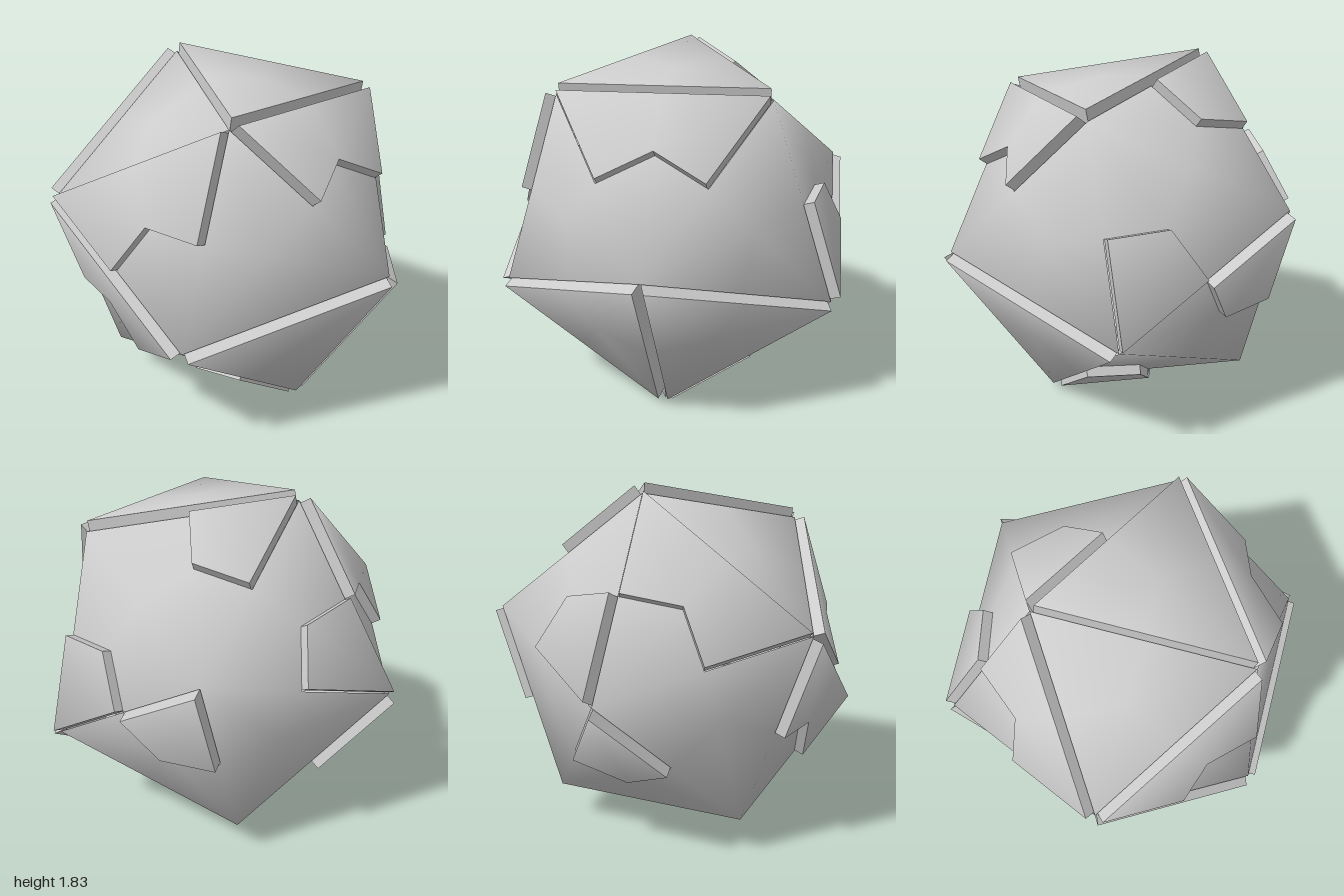
import * as THREE from 'three';

const BASE = 0.969;   // circumradius of the low tiles
const INNER = 0.944;  // circumradius the raised tiles are pushed out from
const RAISE = 0.07;   // push along the face normal
const CENTRE_Y = 0.913;

// Raised corner tiles of each icosahedron face (F front, a-e front ring, p-t back ring, K back)
const RAISED = {
  Fae: 'ae', Fbc: 'Fbc', Fcd: 'Fcd', aep: 'aep', apq: 'p', abq: 'b', bqr: 'q', bcr: 'c',
  crs: 'c', cds: 'c', dst: 'dt', det: 'et', pqK: 'K', rsK: 'K', ptK: 'pt',
};

// Icosahedron corners, with one corner facing the front
function corners() {
  const list = [{ name: 'F', p: new THREE.Vector3(0, 0, 1) }];
  const ring = (names, start, z) => [...names].forEach((name, i) => {
    const a = THREE.MathUtils.degToRad(start - 72 * i);
    const r = 2 / Math.sqrt(5);
    list.push({ name, p: new THREE.Vector3(r * Math.cos(a), r * Math.sin(a), z) });
  });
  ring('abcde', 54, 1 / Math.sqrt(5));
  ring('pqrst', 90, -1 / Math.sqrt(5));
  list.push({ name: 'K', p: new THREE.Vector3(0, 0, -1) });
  return list;
}

// One kite tile: a softly shaded top, plus side walls when raised
function kiteGeometry(outline, normal, raised) {
  const pos = [], nor = [];
  const tri = (pts, normals) => pts.forEach((p, i) => {
    pos.push(p.x, p.y, p.z);
    nor.push(normals[i].x, normals[i].y, normals[i].z);
  });
  const soft = outline.map((p) => p.clone().normalize());
  const foot = outline.map((p) => p.clone().multiplyScalar(raised ? INNER : BASE));
  const top = foot.map((p) => p.clone().addScaledVector(normal, raised ? RAISE : 0));
  for (const t of [[0, 1, 2], [0, 2, 3]]) tri(t.map((i) => top[i]), t.map((i) => soft[i]));
  if (raised) {
    for (let i = 0; i < 4; i++) {
      const j = (i + 1) % 4;
      const out = top[j].clone().sub(top[i]).cross(normal).normalize();
      tri([foot[i], foot[j], top[j]], [out, out, out]);
      tri([foot[i], top[j], top[i]], [out, out, out]);
    }
  }
  const geo = new THREE.BufferGeometry();
  geo.setAttribute('position', new THREE.Float32BufferAttribute(pos, 3));
  geo.setAttribute('normal', new THREE.Float32BufferAttribute(nor, 3));
  return geo;
}

export function createModel() {
  const model = new THREE.Group();
  model.name = 'tiledIcosahedron';
  const material = new THREE.MeshStandardMaterial({ color: 0xcccccc, side: THREE.DoubleSide });
  const v = corners();
  const near = (a, b) => a.p.distanceTo(b.p) < 1.1;

  for (let i = 0; i < 12; i++) for (let j = i + 1; j < 12; j++) for (let k = j + 1; k < 12; k++) {
    if (!near(v[i], v[j]) || !near(v[j], v[k]) || !near(v[i], v[k])) continue;
    const key = v[i].name + v[j].name + v[k].name;
    const centroid = v[i].p.clone().add(v[j].p).add(v[k].p).divideScalar(3);
    const normal = centroid.clone().normalize();
    const turn = v[j].p.clone().sub(v[i].p).cross(v[k].p.clone().sub(v[i].p));
    const face = turn.dot(normal) > 0 ? [v[i], v[j], v[k]] : [v[i], v[k], v[j]];

    const panel = new THREE.Group();
    panel.name = 'facePanel';
    // Three kites per face, one at each corner
    for (let n = 0; n < 3; n++) {
      const a = face[n], b = face[(n + 1) % 3], c = face[(n + 2) % 3];
      const outline = [a.p, a.p.clone().lerp(b.p, 0.5), centroid, a.p.clone().lerp(c.p, 0.5)];
      const raised = (RAISED[key] || '').includes(a.name);
      const tile = new THREE.Mesh(kiteGeometry(outline, normal, raised), material);
      tile.name = raised ? 'raisedTile' : 'lowTile';
      panel.add(tile);
    }
    model.add(panel);
  }
  model.children.forEach((panel) => { panel.position.y = CENTRE_Y; });
  return model;
}
